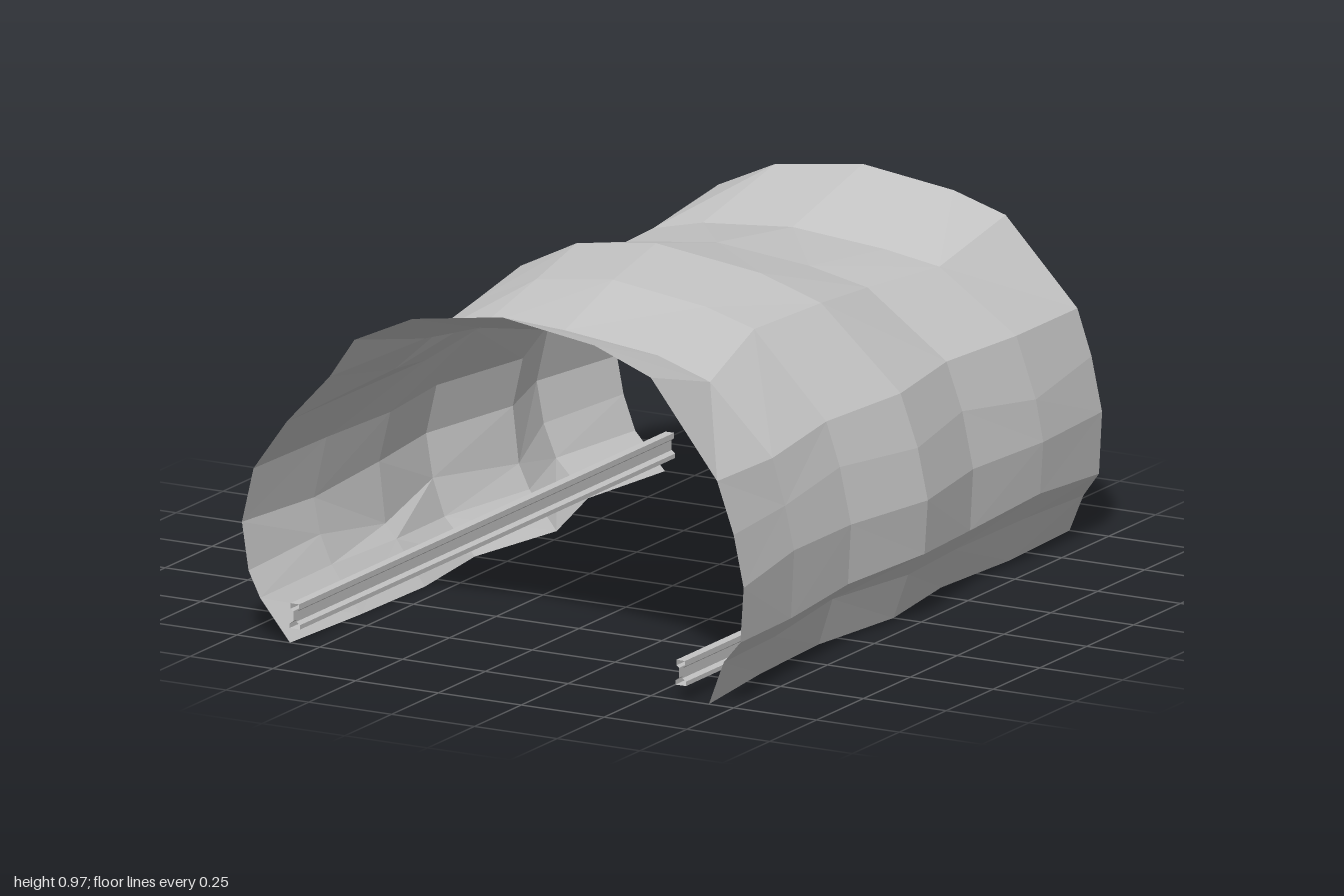
import * as THREE from 'three';

const stone = new THREE.MeshStandardMaterial({ color: 0xc4c4c4, flatShading: true, side: THREE.DoubleSide });
stone.name = 'grey rock';

// Arch cross-section from the left-hand foot over the crown to the other foot
const ARCH = [
  [-0.59, 0], [-0.68, 0.11], [-0.715, 0.18], [-0.735, 0.31], [-0.7, 0.46], [-0.6, 0.6],
  [-0.47, 0.74], [-0.395, 0.85], [-0.22, 0.93], [0.05, 0.97], [0.33, 0.93], [0.5, 0.865],
  [0.7, 0.61], [0.75, 0.47], [0.78, 0.33], [0.77, 0.18], [0.72, 0.12], [0.675, 0],
];

// Rings along the tunnel: z, reach to -x, reach to +x, crown height, sideways crown shift
const RINGS = [
  [1, 0.735, 0.78, 0.97, 0],
  [0.66, 0.71, 0.74, 0.855, 0],
  [0.33, 0.7, 0.725, 0.91, -0.04],
  [0, 0.745, 0.77, 0.925, -0.1],
  [-0.33, 0.67, 0.72, 0.85, -0.1],
  [-0.66, 0.785, 0.745, 0.82, -0.06],
  [-1, 0.735, 0.73, 0.915, -0.04],
];

// Small repeatable noise in -1..1
function makeNoise(seed) {
  let s = seed;
  return () => {
    s = (s * 16807) % 2147483647;
    return (s / 2147483647) * 2 - 1;
  };
}

// Skin between cross-sections; each section is a list of [x, y, z]
function loft(sections, closed, flip = () => false) {
  const n = sections[0].length;
  const index = [];
  for (let r = 0; r < sections.length - 1; r++) {
    for (let i = 0; i < (closed ? n : n - 1); i++) {
      const a = r * n + i, b = r * n + ((i + 1) % n), c = a + n, d = b + n;
      if (flip(r, i)) index.push(a, b, c, b, d, c);
      else index.push(a, b, d, a, d, c);
    }
  }
  const geo = new THREE.BufferGeometry();
  geo.setAttribute('position', new THREE.Float32BufferAttribute(sections.flat(2), 3));
  geo.setIndex(index);
  geo.computeVertexNormals();
  return geo;
}

// Rough rock vault, open at both ends and underneath
function makeVault() {
  const noise = makeNoise(4127);
  const sections = RINGS.map(([z, left, right, top, shift], r) => ARCH.map(([x, y], i) => {
    const rise = Math.max(0, (y - 0.6) / 0.37);
    let px = x * (x < 0 ? left / 0.735 : right / 0.78) + shift * rise * rise;
    let py = y > 0.6 ? 0.6 + rise * (top - 0.6) : y;
    const slide = noise() * 0.025;
    // Slide inner points along the arch so the facets are uneven
    if (r > 0 && i > 0 && i < ARCH.length - 1 && i !== 9) {
      const [ax, ay] = ARCH[i - 1], [bx, by] = ARCH[i + 1];
      const len = Math.hypot(bx - ax, by - ay);
      if (y > 0.4) px += ((bx - ax) / len) * slide;
      py += ((by - ay) / len) * slide;
    }
    return [px, py, z];
  }));
  const mesh = new THREE.Mesh(loft(sections, false, () => noise() > 0), stone);
  mesh.name = 'tunnelVault';
  return mesh;
}

// Thin open-ended rail with a foot, web and head
function makeRail(name, x) {
  const half = [[0.016, 0.04], [0.016, 0.052], [0.005, 0.06], [0.005, 0.087], [0.013, 0.093], [0.013, 0.108]];
  const outline = [...half, ...half.map(([px, py]) => [-px, py]).reverse()];
  const sections = [1, -1].map((z) => outline.map(([px, py]) => [x + px, py, z]));
  const mesh = new THREE.Mesh(loft(sections, true), stone);
  mesh.name = name;
  return mesh;
}

export function createModel() {
  const model = new THREE.Group();
  model.name = 'tunnel';
  model.add(makeVault(), makeRail('leftRail', 0.59), makeRail('rightRail', -0.575));
  return model;
}
